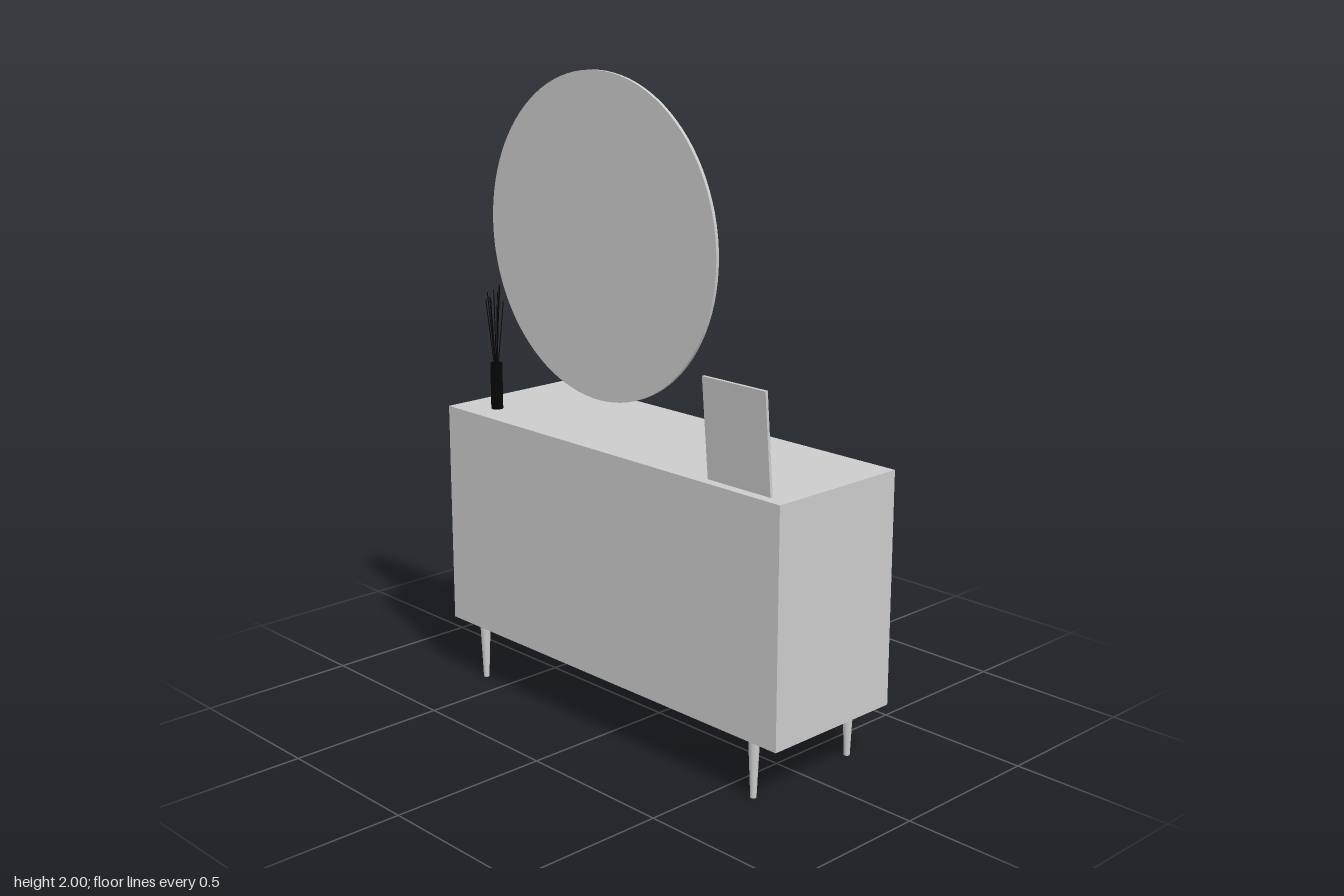
import * as THREE from 'three';

const grey = new THREE.MeshStandardMaterial({ color: 0xcccccc });
const black = new THREE.MeshStandardMaterial({ color: 0x050505 });
const blackOpen = new THREE.MeshStandardMaterial({ color: 0x050505, side: THREE.DoubleSide });

function add(parent, name, geometry, material, x = 0, y = 0, z = 0) {
  const mesh = new THREE.Mesh(geometry, material);
  mesh.name = name;
  mesh.position.set(x, y, z);
  parent.add(mesh);
  return mesh;
}

// Box given by its minimum and maximum corners
function box(parent, name, [x0, y0, z0], [x1, y1, z1]) {
  return add(parent, name, new THREE.BoxGeometry(x1 - x0, y1 - y0, z1 - z0), grey,
    (x0 + x1) / 2, (y0 + y1) / 2, (z0 + z1) / 2);
}

function group(parent, name) {
  const g = new THREE.Group();
  g.name = name;
  parent.add(g);
  return g;
}

const X = 0.718, Y0 = 0.185, Y1 = 0.9, ZB = -0.235, ZF = 0.242, T = 0.014;

function buildCabinet(parent) {
  const cabinet = group(parent, 'cabinet');
  box(cabinet, 'top', [-X, Y1 - T, ZB], [X, Y1, ZF]);
  box(cabinet, 'bottom', [-X, Y0, ZB], [X, Y0 + T, ZF]);
  for (const s of [-1, 1]) {
    const xs = [s * X, s * (X - T)].sort((a, b) => a - b);
    box(cabinet, 'side', [xs[0], Y0 + T, ZB], [xs[1], Y1 - T, ZF]);
  }
  box(cabinet, 'plainPanel', [-X + T, Y0 + T, ZF - T], [X - T, Y1 - T, ZF]);
  box(cabinet, 'divider', [-T / 2, Y0 + T, ZB], [T / 2, Y1 - T, ZF - T]);

  // Knob: narrow stem widening to a flat head
  const knobShape = new THREE.LatheGeometry(
    [[0, 0], [0.005, 0], [0.005, 0.005], [0.009, 0.009], [0.009, 0.012], [0, 0.012]]
      .map(([r, h]) => new THREE.Vector2(r, h)), 20);
  knobShape.rotateX(-Math.PI / 2);

  // Two columns of four drawers
  const gap = 0.003, pitch = (Y1 - Y0 - 2 * T) / 4, face = ZB + 0.003;
  for (const s of [-1, 1]) {
    for (let row = 0; row < 4; row++) {
      const drawer = group(cabinet, 'drawer');
      const y = Y0 + T + row * pitch;
      const xs = [s * (T / 2 + gap / 2), s * (X - T - gap / 2)].sort((a, b) => a - b);
      box(drawer, 'drawerFront', [xs[0], y + gap / 2, face], [xs[1], y + pitch - gap / 2, face + 0.4]);
      add(drawer, 'knob', knobShape, grey, s * 0.355, 0.32 + row * 0.175, face);
    }
  }
}

function buildLegs(parent) {
  const leg = new THREE.CylinderGeometry(0.017, 0.009, Y0, 24);
  for (const x of [-0.603, 0.603]) {
    for (const z of [-0.195, 0.207]) add(parent, 'leg', leg, grey, x, Y0 / 2, z);
  }
}

function buildMirror(parent) {
  const mirror = group(parent, 'mirror');
  mirror.position.set(0, 1.527, 0.236);
  const R = 0.473, r = 0.437;
  // Frame: a ring closed by a backing disc on the +z side
  const profile = [[0, 0.005], [R, 0.005], [R, -0.005], [r, -0.005], [r, 0.002]]
    .map(([a, h]) => new THREE.Vector2(a, h));
  const frame = new THREE.LatheGeometry(profile, 96).toNonIndexed();
  frame.computeVertexNormals();
  frame.rotateX(Math.PI / 2);
  const mesh = add(mirror, 'mirrorFrame', frame, grey.clone());
  mesh.material.side = THREE.DoubleSide;
  const glass = new THREE.CircleGeometry(r, 96).rotateY(Math.PI);
  add(mirror, 'mirrorGlass', glass, black, 0, 0, -0.003);
}

function buildPictureFrame(parent) {
  const picture = group(parent, 'pictureFrame');
  const w = 0.238, h = 0.301, b = 0.011, d = 0.009;
  picture.position.set(0.536, 0.9, 0.207);
  picture.rotation.x = 0.085;
  box(picture, 'frameBottom', [-w / 2, 0, -d / 2], [w / 2, b, d / 2]);
  box(picture, 'frameTop', [-w / 2, h - b, -d / 2], [w / 2, h, d / 2]);
  box(picture, 'frameLeft', [w / 2 - b, b, -d / 2], [w / 2, h - b, d / 2]);
  box(picture, 'frameRight', [-w / 2, b, -d / 2], [-w / 2 + b, h - b, d / 2]);
  box(picture, 'picturePanel', [-w / 2 + b, b, 0], [w / 2 - b, h - b, d / 2]);
}

function buildDiffuser(parent) {
  const diffuser = group(parent, 'reedDiffuser');
  diffuser.position.set(-0.59, Y1, 0.148);
  // Hollow vessel
  const wall = [[0, 0], [0.019, 0], [0.019, 0.148], [0.015, 0.148], [0.015, 0.01], [0, 0.01]]
    .map(([r, y]) => new THREE.Vector2(r, y));
  add(diffuser, 'vessel', new THREE.LatheGeometry(wall, 32), blackOpen);
  // Thin reeds fanning out of the vessel
  const count = 12;
  for (let i = 0; i < count; i++) {
    const a = i * 2.4, spread = 0.014 + 0.027 * ((i * 5) % count) / count;
    const top = 0.33 + 0.075 * ((i * 7) % count) / count;
    const foot = new THREE.Vector3(-0.008 * Math.cos(a), 0.011, -0.008 * Math.sin(a));
    const tip = new THREE.Vector3(spread * Math.cos(a), top, spread * 0.85 * Math.sin(a));
    const dir = tip.clone().sub(foot);
    const reed = add(diffuser, 'reed', new THREE.CylinderGeometry(0.0016, 0.0016, dir.length(), 6), black);
    reed.position.copy(foot).add(tip).multiplyScalar(0.5);
    reed.quaternion.setFromUnitVectors(new THREE.Vector3(0, 1, 0), dir.normalize());
  }
}

export function createModel() {
  const model = new THREE.Group();
  model.name = 'dresserWithMirror';
  buildCabinet(model);
  buildLegs(model);
  buildMirror(model);
  buildPictureFrame(model);
  buildDiffuser(model);
  return model;
}
